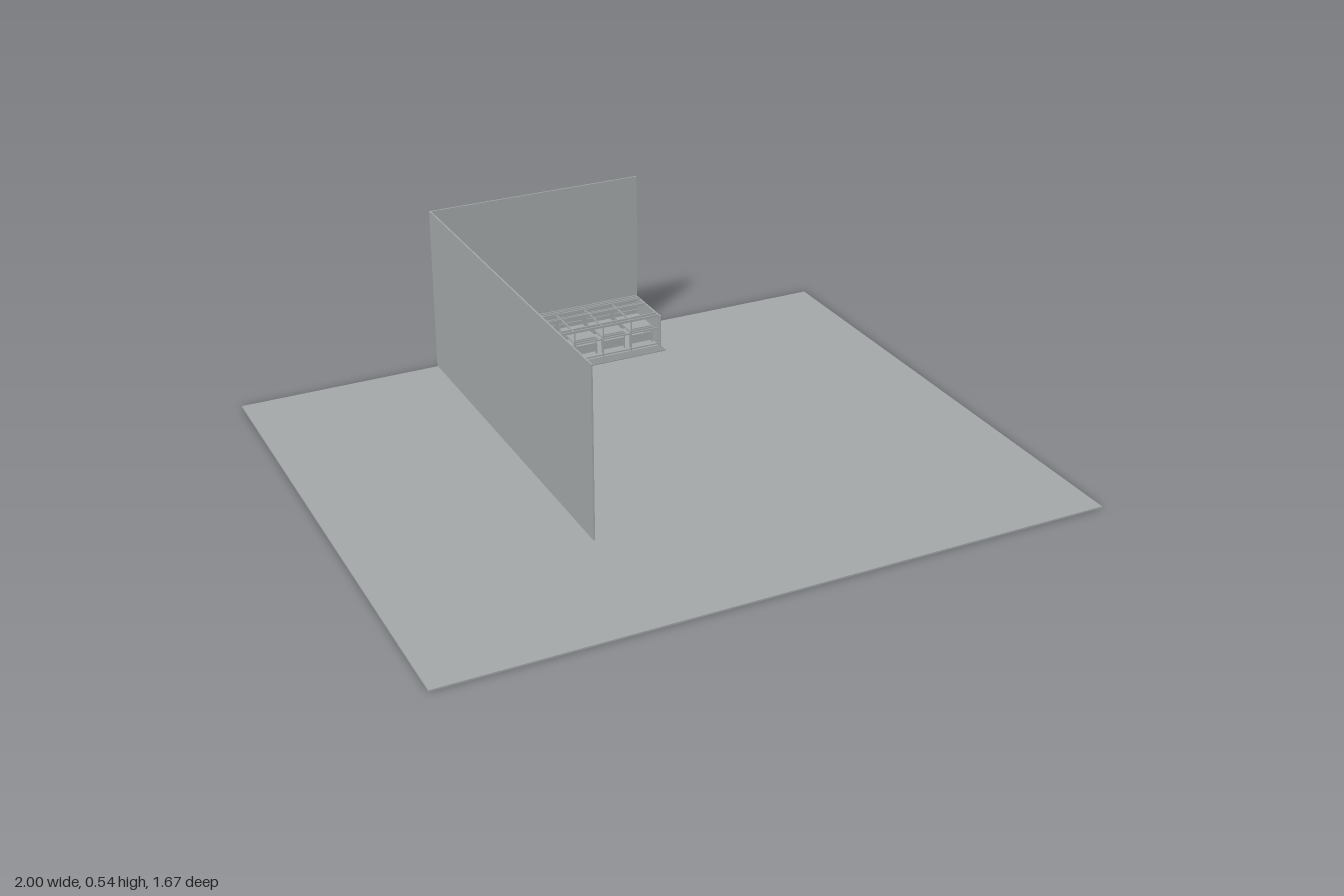
import * as THREE from 'three';

export function createModel() {
  const model = new THREE.Group();
  const grey = new THREE.MeshStandardMaterial({ color: 0xa3a7a7 });
  grey.name = 'concrete grey';
  const dim = new THREE.MeshStandardMaterial({ color: 0x8c9090 });
  dim.name = 'paving grey';

  // Box given by its minimum and maximum corners
  function box(name, x0, x1, y0, y1, z0, z1, material = grey, parent = model) {
    const mesh = new THREE.Mesh(new THREE.BoxGeometry(x1 - x0, y1 - y0, z1 - z0), material);
    mesh.position.set((x0 + x1) / 2, (y0 + y1) / 2, (z0 + z1) / 2);
    mesh.name = name;
    parent.add(mesh);
    return mesh;
  }

  // Ground and the two tall walls
  box('ground', -1, 1, 0, 0.005, -0.828, 0.833);
  box('backWall', -0.357, 0.354, 0, 0.536, -0.835, -0.83);
  box('sideWall', -0.357, -0.352, 0, 0.536, -0.835, 0.376);

  // Low unit: end panel and paving strip in front
  box('endPanel', 0.35, 0.354, 0, 0.114, -0.835, -0.648);
  box('pavingStrip', -0.352, 0.354, 0.005, 0.007, -0.655, -0.612, dim);

  // Open top frame
  const frame = new THREE.Group();
  frame.name = 'topFrame';
  model.add(frame);
  for (const z of [-0.828, -0.816, -0.804, -0.761, -0.676, -0.658]) {
    box('topRail', -0.352, 0.352, 0.109, 0.117, z - 0.002, z + 0.002, grey, frame);
  }

  // Seven equal bays with posts, dividers, shelf and front panel
  const bays = 7, left = -0.35, pitch = 0.1;
  for (let i = 0; i <= bays; i++) {
    const x = left + i * pitch;
    box('crossRail', x - 0.002, x + 0.002, 0.108, 0.114, -0.83, -0.656, grey, frame);
    box('frontPost', x - 0.002, x + 0.002, 0.005, 0.112, -0.66, -0.656, grey, frame);
  }
  for (let i = 0; i < bays; i++) {
    const bay = new THREE.Group();
    bay.name = 'bay';
    bay.position.x = left + (i + 0.5) * pitch;
    model.add(bay);
    box('shelf', -0.042, 0.042, 0.058, 0.064, -0.802, -0.685, grey, bay);
    box('shelfBack', -0.042, 0.042, 0.064, 0.078, -0.806, -0.802, grey, bay);
    box('frontLip', -0.036, 0.036, 0.064, 0.068, -0.692, -0.688, grey, bay);
    box('lowerPanel', -0.038, 0.038, 0.016, 0.046, -0.69, -0.686, grey, bay);
    for (const s of [-1, 1]) {
      for (const z of [-0.8, -0.69]) {
        box('leg', s * 0.04 - 0.002, s * 0.04 + 0.002, 0.005, 0.058, z - 0.002, z + 0.002, grey, bay);
      }
    }
  }

  // Long rails joining the bays
  box('lowerRail', -0.352, 0.352, 0.008, 0.013, -0.664, -0.66);
  box('middleRail', -0.352, 0.352, 0.064, 0.069, -0.664, -0.66);
  box('upperRail', -0.352, 0.352, 0.086, 0.089, -0.828, -0.824);
  return model;
}
